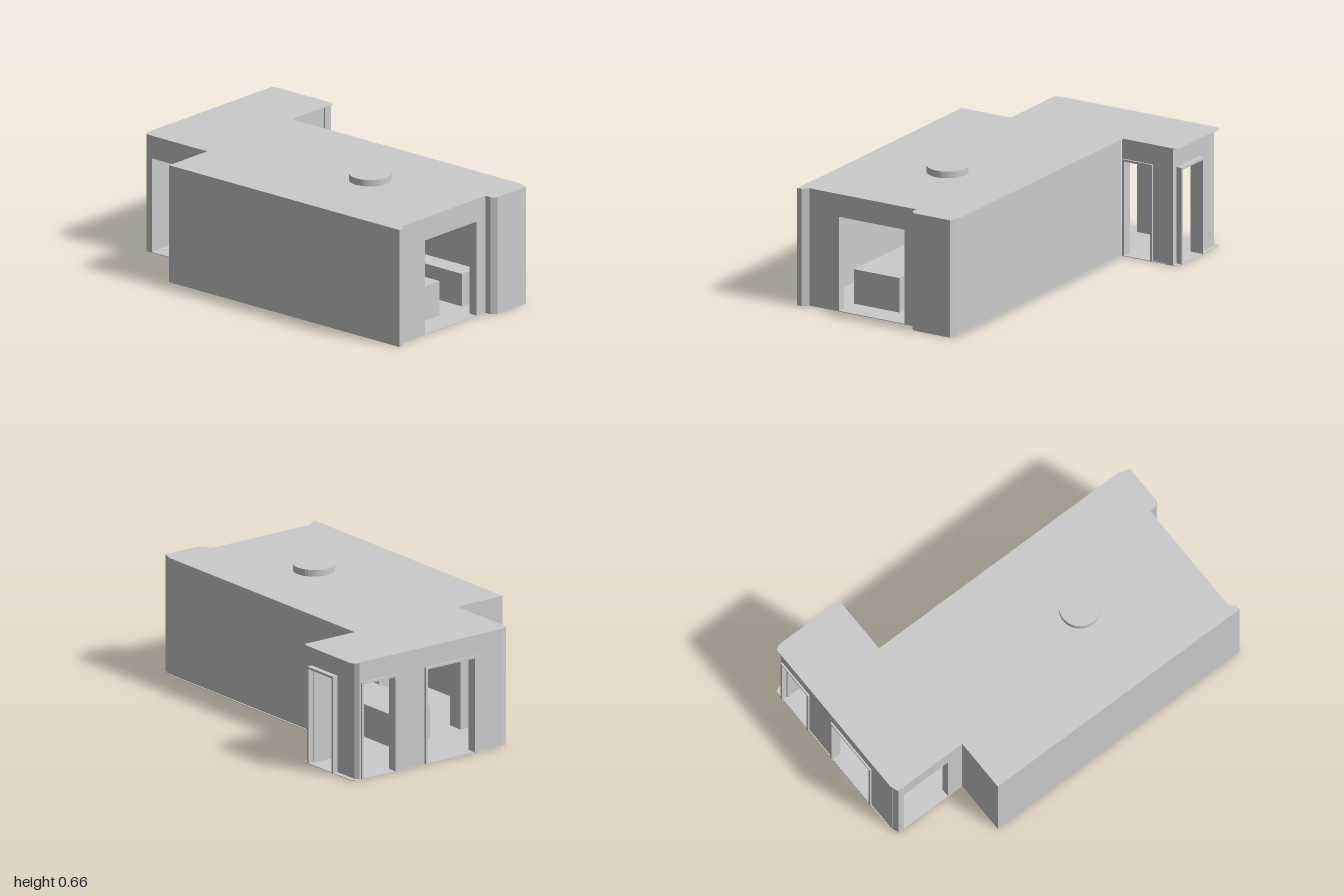
import * as THREE from 'three';

const H = 0.62, DOOR = 0.5, T = 0.045;
const grey = new THREE.MeshStandardMaterial({ color: 0xcccccc, flatShading: true, side: THREE.DoubleSide });

function add(parent, name, geometry) {
  const mesh = new THREE.Mesh(geometry, grey);
  mesh.name = name;
  parent.add(mesh);
  return mesh;
}

// Box given by its limits on each axis
function block(parent, name, x0, x1, y0, y1, z0, z1) {
  const mesh = add(parent, name, new THREE.BoxGeometry(x1 - x0, y1 - y0, z1 - z0));
  mesh.position.set((x0 + x1) / 2, (y0 + y1) / 2, (z0 + z1) / 2);
  return mesh;
}

// Plan outline [x, z] raised to a prism standing at y
function prism(parent, name, points, y, height) {
  const shape = new THREE.Shape(points.map(([x, z]) => new THREE.Vector2(x, -z)));
  const geometry = new THREE.ExtrudeGeometry(shape, { depth: height, bevelEnabled: false });
  geometry.rotateX(-Math.PI / 2);
  add(parent, name, geometry).position.y = y;
}

// Straight wall with doorways; inward is the sign from outer face to room.
// A doorway is [from, to, framed].
function wall(parent, name, axis, outer, inward, from, to, doors = []) {
  const group = new THREE.Group();
  group.name = name;
  parent.add(group);
  const piece = (label, a, b, y0, y1, near = 0, far = T) => {
    const p = outer + inward * near, q = outer + inward * far;
    const lo = Math.min(p, q), hi = Math.max(p, q);
    if (axis === 'x') block(group, label, a, b, y0, y1, lo, hi);
    else block(group, label, lo, hi, y0, y1, a, b);
  };
  let start = from;
  for (const [a, b, framed] of doors) {
    piece('wallPanel', start, a, 0, H);
    piece('lintel', a, b, DOOR, H);
    if (framed) {
      const w = 0.012, out = -framed;
      piece('frameSide', a - w, a, 0, DOOR + w, out, 0.01);
      piece('frameSide', b, b + w, 0, DOOR + w, out, 0.01);
      piece('frameTop', a - w, b + w, DOOR, DOOR + w, out, 0.01);
    }
    start = b;
  }
  piece('wallPanel', start, to, 0, H);
}

export function createModel() {
  const model = new THREE.Group();
  model.name = 'building';

  // Floor and roof sheets share one plan
  const plan = [
    [-0.97, -0.635], [-0.6, -0.635], [-0.585, -0.62], [-0.585, -0.31], [0.94, -0.31],
    [1, -0.29], [1, -0.075], [0.975, -0.05], [0.94, -0.05], [0.94, 0.59], [0.97, 0.615],
    [0.97, 0.64], [-0.57, 0.64], [-0.57, 0.35], [-0.98, 0.35], [-0.995, 0.31], [-0.995, -0.62],
  ];
  prism(model, 'floor', plan, 0, 0.003);
  prism(model, 'roof', plan, H - 0.003, 0.003);

  // Main hall walls
  wall(model, 'frontWall', 'x', 0.64, -1, -0.57, 0.94);
  wall(model, 'backWall', 'x', -0.302, 1, -0.585, 0.95);
  wall(model, 'hallSideWall', 'z', -0.57, 1, 0.35, 0.64);
  wall(model, 'entranceWall', 'z', 0.94, -1, -0.06, 0.62, [[0.02, 0.41, 0]]);

  // Thick piers at the ends of the entrance side
  prism(model, 'backPier', [[0.93, -0.302], [0.96, -0.302], [1, -0.288], [1, -0.072],
    [0.975, -0.05], [0.93, -0.05]], 0, H);
  prism(model, 'frontPier', [[0.93, 0.585], [0.94, 0.585], [0.97, 0.615], [0.97, 0.64], [0.93, 0.64]], 0, H);

  // Annex walls with their doorways
  wall(model, 'annexFrontWall', 'x', 0.35, -1, -0.975, -0.57, [[-0.94, -0.66, 0]]);
  wall(model, 'annexBackWall', 'x', -0.608, 1, -0.97, -0.585, [[-0.82, -0.632, 0.029]]);
  wall(model, 'annexInnerWall', 'z', -0.592, -1, -0.608, -0.3, [[-0.472, -0.318, 0.009]]);
  wall(model, 'annexOuterWall', 'z', -0.99, 1, -0.59, 0.32,
    [[-0.57, -0.37, 0.01], [-0.165, 0.135, 0.01]]);

  // Chamfered outer corners of the annex
  prism(model, 'annexFrontCorner', [[-0.99, 0.31], [-0.975, 0.35], [-0.945, 0.35], [-0.945, 0.305]], 0, H);
  prism(model, 'annexBackCorner', [[-0.99, -0.59], [-0.97, -0.608], [-0.945, -0.608], [-0.945, -0.585]], 0, H);

  // Round shaft hanging through the roof
  add(model, 'roofShaft', new THREE.CylinderGeometry(0.106, 0.106, 0.3, 40))
    .position.set(0.34, 0.505, 0.145);

  // Counters inside the hall
  block(model, 'frontCounter', -0.2, 0.8, 0, 0.185, 0.14, 0.41);
  block(model, 'backCounter', -0.2, 0.79, 0, 0.175, -0.15, -0.04);
  block(model, 'endCounter', -0.665, -0.2, 0, 0.175, -0.15, 0.105);
  return model;
}
